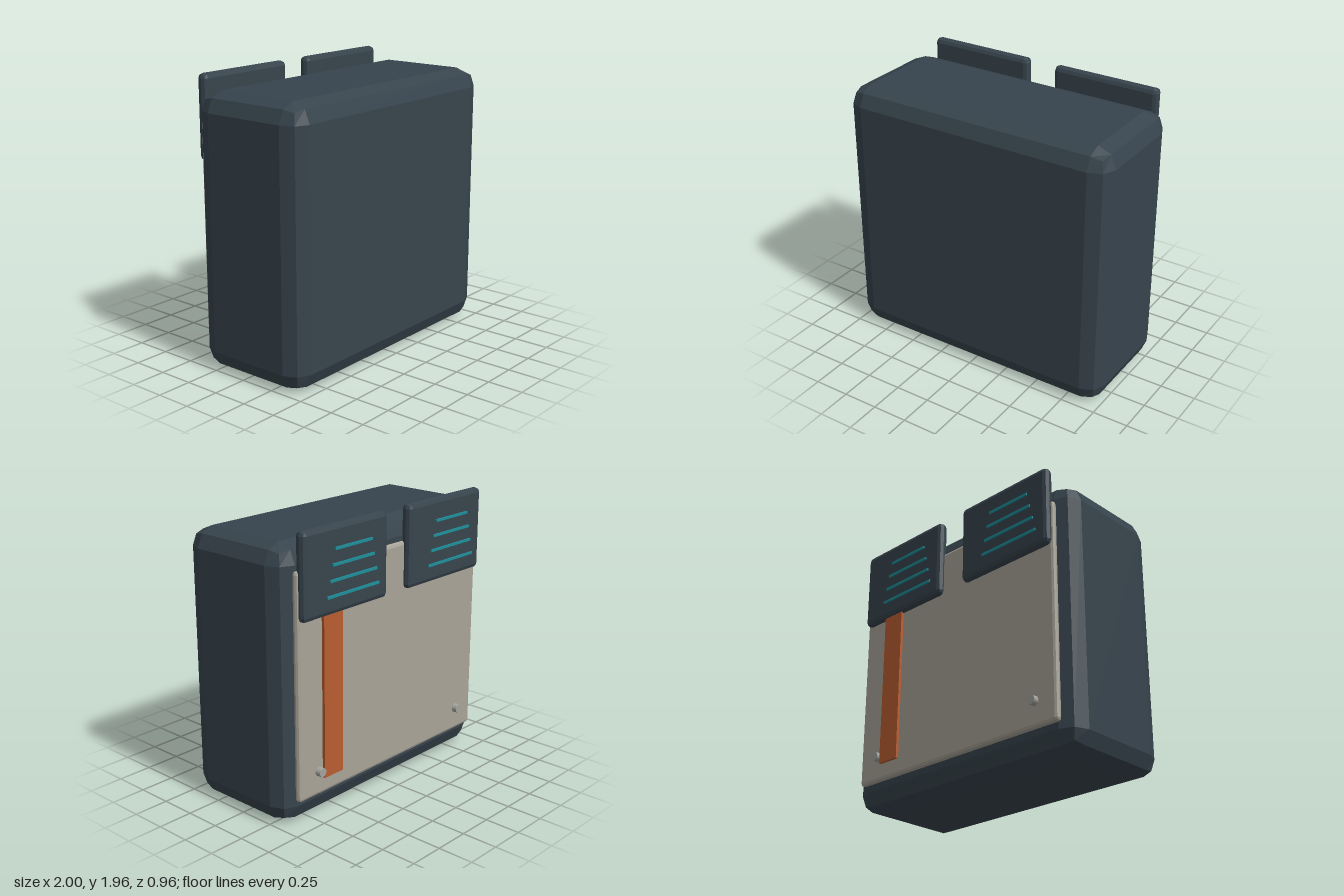
import * as THREE from 'three';
import { RoundedBoxGeometry } from 'three/addons/geometries/RoundedBoxGeometry.js';

function paint(name, color) {
  const m = new THREE.MeshStandardMaterial({ color });
  m.name = name;
  return m;
}

// Box with faceted two-step bevels, given by its min and max corners
function bevelBox(name, material, min, max, radius) {
  const size = max.map((v, i) => v - min[i]);
  const geo = new RoundedBoxGeometry(size[0], size[1], size[2], 1, radius);
  geo.computeVertexNormals();
  return place(name, geo, material, min.map((v, i) => (v + max[i]) / 2));
}

function place(name, geo, material, pos) {
  const mesh = new THREE.Mesh(geo, material);
  mesh.name = name;
  mesh.position.set(...pos);
  return mesh;
}

export function createModel() {
  const slate = paint('slate', 0x37444d);
  const stone = paint('stone', 0xa9a498);
  const rust = paint('rust', 0xb95d31);
  const teal = paint('teal', 0x1f909b);
  const steel = paint('steel', 0xa3a39e);

  const model = new THREE.Group();
  model.name = 'backpackUnit';

  // Main shell and the panel on its back
  model.add(bevelBox('shell', slate, [-1, 0, -0.385], [1, 1.87, 0.48], 0.13));
  model.add(bevelBox('backPanel', stone, [-0.9, 0.17, -0.428], [0.9, 1.71, -0.38], 0.022));

  // Vertical strap
  model.add(place('strap', new THREE.BoxGeometry(0.17, 1.215, 0.03), rust, [0.6, 0.8925, -0.434]));

  // Rivets near the lower corners
  const rivet = new THREE.CylinderGeometry(0.03, 0.033, 0.04, 16);
  rivet.rotateX(-Math.PI / 2);
  for (const x of [-0.72, 0.72]) model.add(place('rivet', rivet, steel, [x, 0.34, -0.445]));

  // Upper flaps with vent lines that widen downwards
  for (const side of [-1, 1]) {
    const flap = new THREE.Group();
    flap.name = side > 0 ? 'leftFlap' : 'rightFlap';
    const x = side * 0.495;
    flap.add(bevelBox('flapPlate', slate, [x - 0.39, 1.385, -0.47], [x + 0.39, 1.96, -0.395], 0.032));
    for (let i = 0; i < 4; i++) {
      const line = new THREE.BoxGeometry(0.34 + i * 0.047, 0.018, 0.014);
      flap.add(place('ventLine', line, teal, [x - 0.055, 1.81 - i * 0.1, -0.473]));
    }
    model.add(flap);
  }
  return model;
}
